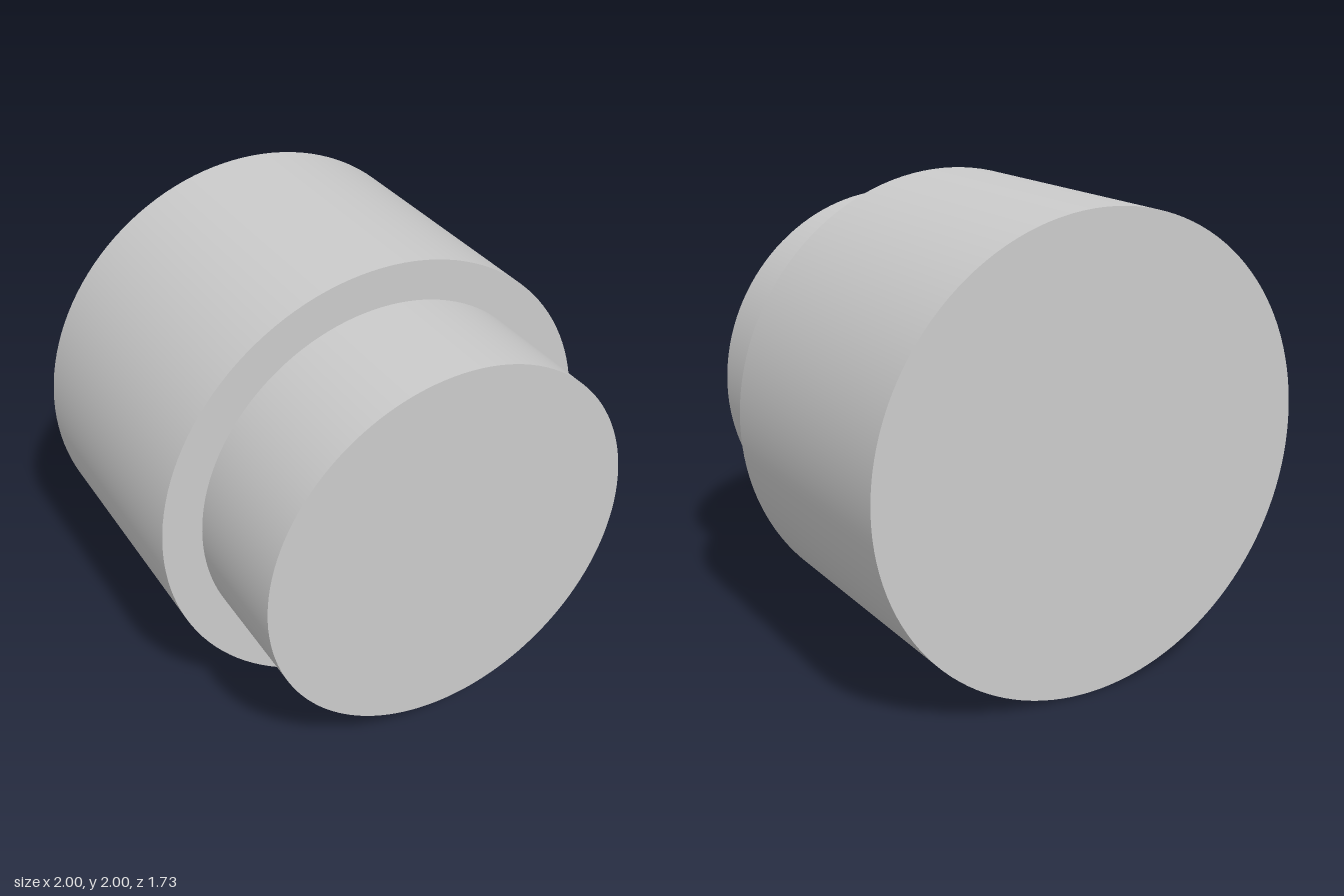
import * as THREE from 'three';

const material = new THREE.MeshStandardMaterial({ color: 0xcccccc });

// Solid cylinder lying along z, from zBack to zFront, centred at y = 1
function disc(name, radius, zBack, zFront) {
  const geometry = new THREE.CylinderGeometry(radius, radius, zFront - zBack, 128);
  geometry.rotateX(Math.PI / 2);
  const mesh = new THREE.Mesh(geometry, material);
  mesh.name = name;
  mesh.position.set(0, 1, (zBack + zFront) / 2);
  return mesh;
}

export function createModel() {
  const group = new THREE.Group();
  group.name = 'steppedCylinder';

  // Wide body at the back, narrower spigot at the front
  group.add(disc('body', 1, -0.863, 0.307));
  group.add(disc('spigot', 0.827, 0.307, 0.863));

  return group;
}
